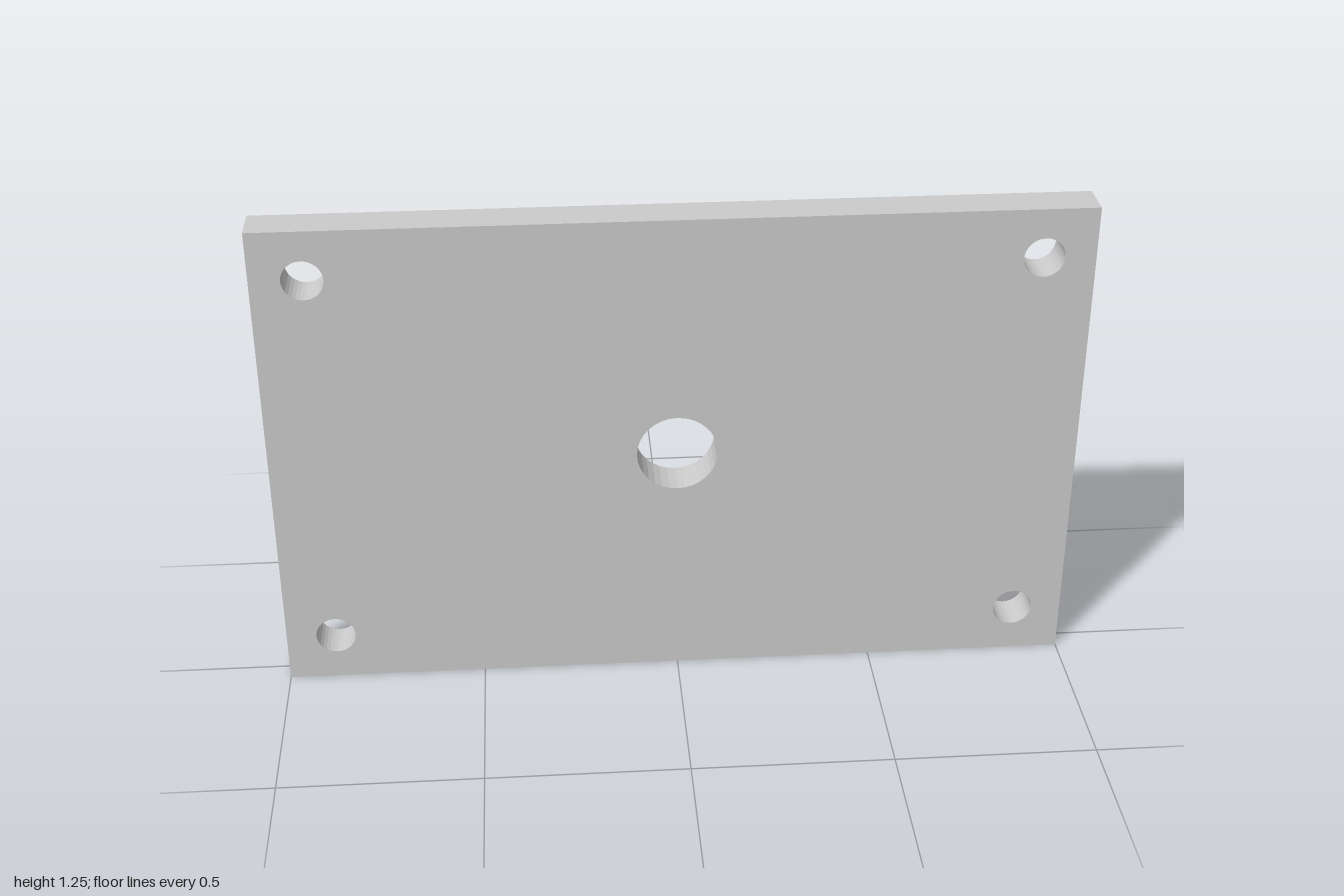
import * as THREE from 'three';

const WIDTH = 2, HEIGHT = 1.25, DEPTH = 0.1;
const INSET = 0.125; // corner hole centre to plate edge

function circleHole(x, y, radius) {
  const path = new THREE.Path();
  path.absarc(x, y, radius, 0, Math.PI * 2, true);
  return path;
}

export function createModel() {
  const group = new THREE.Group();
  group.name = 'mountingPlate';

  // Rectangular outline, standing on the ground
  const outline = new THREE.Shape();
  outline.moveTo(-WIDTH / 2, 0);
  outline.lineTo(WIDTH / 2, 0);
  outline.lineTo(WIDTH / 2, HEIGHT);
  outline.lineTo(-WIDTH / 2, HEIGHT);
  outline.closePath();

  // Centre bore and four corner bolt holes
  outline.holes.push(circleHole(0, HEIGHT / 2, 0.1));
  for (const side of [-1, 1]) {
    for (const y of [INSET, HEIGHT - INSET]) {
      outline.holes.push(circleHole(side * (WIDTH / 2 - INSET), y, 0.05));
    }
  }

  const geometry = new THREE.ExtrudeGeometry(outline, {
    depth: DEPTH, bevelEnabled: false, curveSegments: 16,
  });
  geometry.translate(0, 0, -DEPTH / 2);

  const plate = new THREE.Mesh(
    geometry,
    new THREE.MeshStandardMaterial({ color: 0xcccccc, flatShading: true })
  );
  plate.name = 'plate';
  group.add(plate);
  return group;
}
